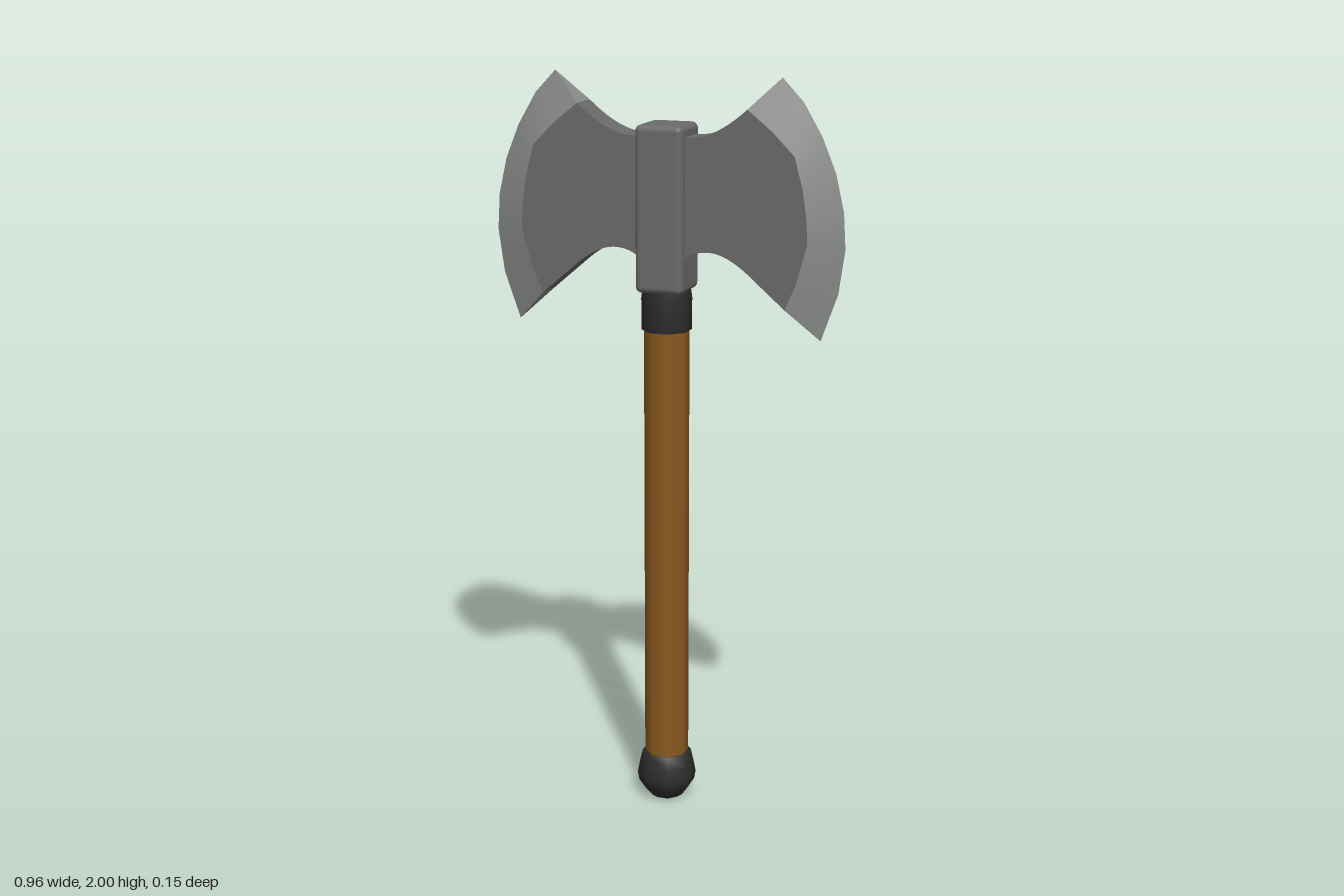
import * as THREE from 'three';
import { RoundedBoxGeometry } from 'three/addons/geometries/RoundedBoxGeometry.js';

const mat = (name, color) => {
  const m = new THREE.MeshStandardMaterial({ color });
  m.name = name;
  return m;
};

const T = 0.043; // half thickness of the blades

// Line where the flat of the blade turns into the bevel, and the sharp edge, top to bottom
const shoulder = [[0.23, 1.922], [0.295, 1.87], [0.355, 1.81], [0.377, 1.73], [0.388, 1.66], [0.392, 1.59], [0.365, 1.49], [0.335, 1.418]];
const edge = [[0.308, 2.0], [0.365, 1.94], [0.415, 1.855], [0.452, 1.765], [0.474, 1.67], [0.48, 1.575], [0.464, 1.46], [0.42, 1.335]];

// Flat body of one blade
function bodyGeometry() {
  const s = new THREE.Shape();
  s.moveTo(0, 1.845);
  s.lineTo(0.085, 1.845);
  s.quadraticCurveTo(0.15, 1.85, ...shoulder[0]);
  shoulder.slice(1).forEach(p => s.lineTo(...p));
  s.lineTo(0.23, 1.508);
  s.quadraticCurveTo(0.165, 1.56, 0.115, 1.553);
  s.quadraticCurveTo(0.085, 1.55, 0.06, 1.53);
  s.lineTo(0, 1.53);
  const g = new THREE.ExtrudeGeometry(s, { depth: 2 * T, bevelEnabled: false, curveSegments: 10 });
  return g.translate(0, 0, -T);
}

// Bevels on both faces, meeting in the sharp edge, with a triangle closing each end
function bevelGeometry() {
  const pos = [], idx = [], n = shoulder.length;
  for (const side of [1, -1]) {
    const base = pos.length / 3;
    shoulder.forEach((p, i) => pos.push(...p, side * T, ...edge[i], 0));
    for (let i = 0; i < n - 1; i++) {
      const a = base + 2 * i, b = a + 1, c = a + 2, d = a + 3;
      if (side > 0) idx.push(a, c, b, b, c, d);
      else idx.push(a, b, c, b, d, c);
    }
  }
  for (const [i, s] of [[0, 1], [n - 1, -1]]) {
    const base = pos.length / 3;
    pos.push(...shoulder[i], s * T, ...edge[i], 0, ...shoulder[i], -s * T);
    idx.push(base, base + 1, base + 2);
  }
  const g = new THREE.BufferGeometry();
  g.setAttribute('position', new THREE.Float32BufferAttribute(pos, 3));
  g.setIndex(idx);
  g.computeVertexNormals();
  return g;
}

export function createModel() {
  const steel = mat('steel', 0x6a6a6a);
  const sharpSteel = mat('sharpened steel', 0x8a8d8c);
  const wood = mat('wood', 0x8a5a1e);
  const iron = mat('dark iron', 0x2d2d2d);

  const model = new THREE.Group();
  model.name = 'doubleAxe';
  const add = (parent, name, geometry, material, y = 0) => {
    const m = new THREE.Mesh(geometry, material);
    m.name = name;
    m.position.y = y;
    parent.add(m);
    return m;
  };
  // Eight-sided upright part with flats to the front
  const lathe = points => new THREE.LatheGeometry(points.map(p => new THREE.Vector2(...p)), 8, Math.PI / 8);

  // Shaft with its fittings
  add(model, 'handle', lathe([[0.06, 0.11], [0.06, 1.36]]), wood);
  add(model, 'pommel', lathe([[0, 0], [0.04, 0.002], [0.057, 0.015], [0.077, 0.045], [0.081, 0.068], [0.075, 0.1], [0.067, 0.135], [0.05, 0.137]]), iron);
  add(model, 'collar', lathe([[0.055, 1.332], [0.066, 1.335], [0.067, 1.42], [0.063, 1.45]]), iron);

  // Socket around the shaft
  add(model, 'socket', new RoundedBoxGeometry(0.13, 0.435, 0.138, 3, 0.016), steel, 1.6575);

  // Two blades, the second turned half around
  const body = bodyGeometry(), bevel = bevelGeometry();
  ['leftBlade', 'rightBlade'].forEach((name, i) => {
    const blade = new THREE.Group();
    blade.name = name;
    blade.rotation.y = i * Math.PI;
    add(blade, 'bladeBody', body, steel);
    add(blade, 'bladeEdge', bevel, sharpSteel);
    model.add(blade);
  });
  return model;
}
